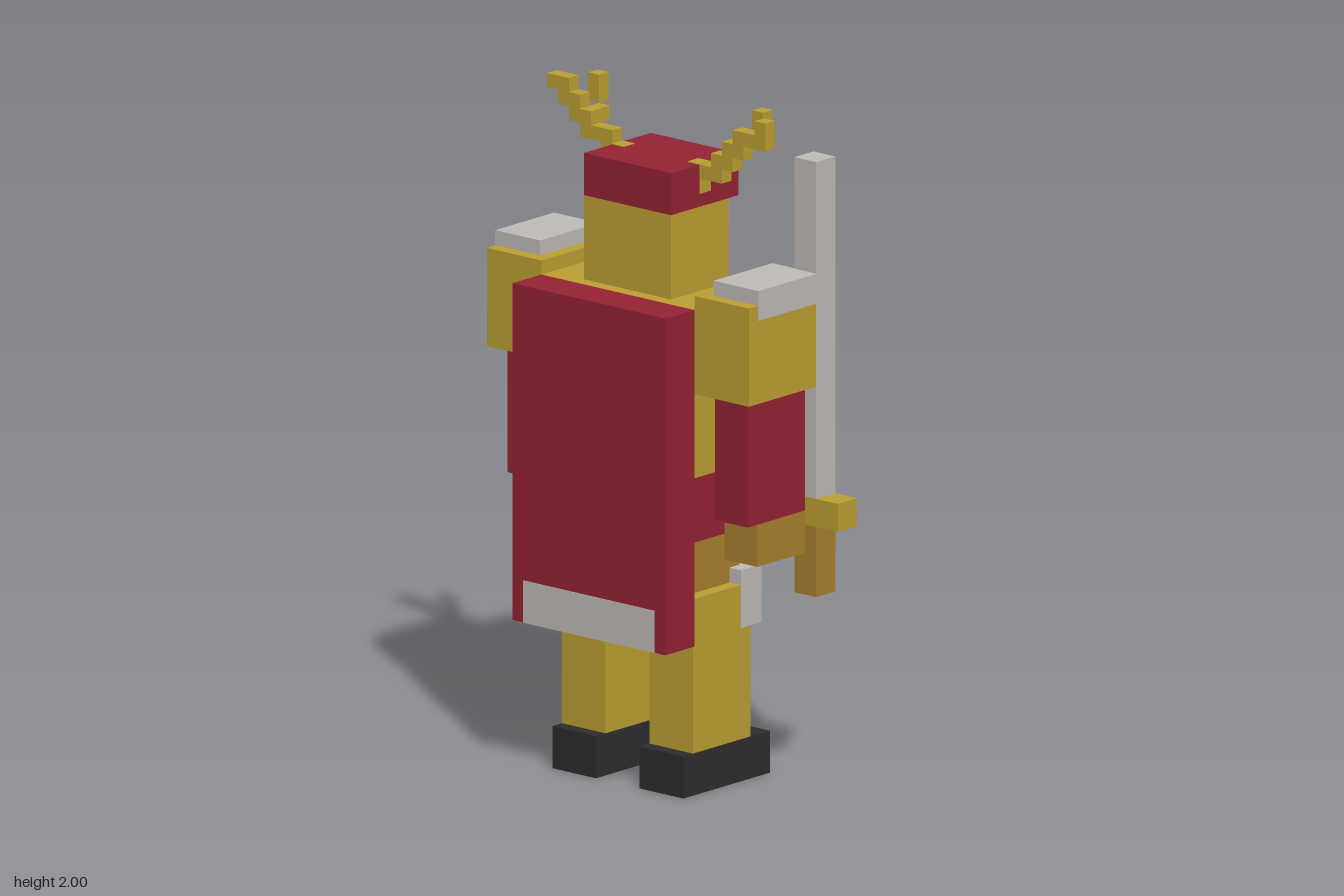
import * as THREE from 'three';

const V = 1 / 24; // size of one block

export function createModel() {
  const model = new THREE.Group();
  model.name = 'armouredFigure';
  const mat = (name, color) => {
    const m = new THREE.MeshStandardMaterial({ color });
    m.name = name;
    return m;
  };
  const gold = mat('gold', 0xbda033);
  const red = mat('red', 0x962234);
  const brown = mat('brown', 0xaa802e);
  const grey = mat('grey', 0xc0bcb7);
  const black = mat('black', 0x2d2d2d);

  // Box from block ranges; grow lifts inlaid colours just above the surface
  function box(name, material, [x0, x1], [y0, y1], [z0, z1], grow = 0, parent = model) {
    const g = 2 * grow;
    const mesh = new THREE.Mesh(
      new THREE.BoxGeometry((x1 - x0 + g) * V, (y1 - y0 + g) * V, (z1 - z0 + g) * V), material);
    mesh.position.set((x0 + x1) / 2 * V, (y0 + y1) / 2 * V, (z0 + z1) / 2 * V);
    mesh.name = name;
    parent.add(mesh);
    return mesh;
  }
  const INLAY = 0.06;

  // Limbs, mirrored about the body's middle at x = -1
  for (const [side, s] of [['left', 1], ['right', -1]]) {
    const mx = (a, b) => [s * a - 1, s * b - 1].sort((p, q) => p - q);
    box(side + 'Boot', black, mx(2, 6), [0, 3], [-5.5, 3.5]);
    box(side + 'Leg', gold, mx(2, 6), [3, 14], [-3.5, 2.5]);
    box(side + 'Thigh', brown, mx(2, 5), [14, 18], [-3.5, 2.5]);
    box(side + 'KneeGuard', grey, mx(2, 6), [11, 15], [-4.5, -2.5], INLAY);
    box(side + 'Sleeve', red, mx(8, 11), [20, 29], [-3.5, 2.5]);
    box(side + 'Hand', brown, mx(8, 11), [17, 20], [-4.5, 1.5]);
    box(side + 'Shoulder', gold, mx(7, 12), [29, 36], [-4.5, 3.5]);
    box(side + 'ShoulderPlate', grey, mx(8, 12), [35, 37], [-3.5, 2.5], INLAY);
  }

  // Body
  box('torso', gold, [-8, 6], [23, 35], [-4.5, 3.5]);
  box('skirt', red, [-7, 5], [18, 23], [-4.5, 3.5]);
  box('skirtTab', gold, [-3, 1], [18, 23], [-5.5, -4.5]);
  box('chestPlate', brown, [-7, 5], [24, 34], [-5.5, -4.5]);
  box('chestBadge', red, [-4, 2], [26, 32], [-6.5, -5.5]);
  box('badgeCentre', gold, [-3, 1], [27, 31], [-6.55, -6.4]);

  // Cape and its hem
  box('cape', red, [-8, 6], [11, 35], [3.5, 6.5]);
  box('capeHem', grey, [-7, 5], [11, 14], [6.4, 6.55]);

  // Head
  box('head', gold, [-5, 3], [35, 41], [-3.5, 2.5]);
  box('facePlate', gold, [-4, 2], [37, 40], [-4.5, -3.5]);
  box('cap', red, [-5, 3], [41, 44], [-4.5, 2.5]);

  // Antlers: stepped rows of [x range, y range], then a prong towards the face
  const antlers = {
    leftAntler: {
      rows: [[[3, 5], [43, 44]], [[4, 6], [44, 45]], [[5, 6], [45, 46]],
        [[6, 8], [46, 47]], [[5, 7], [45, 46]], [[8, 9], [46, 48]]],
      prong: [[5, 6], [6, 7]], root: [2, 3],
    },
    rightAntler: {
      rows: [[[-6, -5], [43, 44]], [[-8, -5], [44, 45]], [[-9, -7], [45, 46]],
        [[-10, -8], [46, 47]], [[-11, -9], [47, 48]]],
      prong: [[-8, -7], [-9, -8]], root: [-5, -4],
    },
  };
  for (const [name, { rows, prong, root }] of Object.entries(antlers)) {
    const group = new THREE.Group();
    group.name = name;
    model.add(group);
    box('antlerRoot', gold, root, [42, 44], [-1.5, -0.5], INLAY, group);
    for (const [x, y] of rows) box('antlerStep', gold, x, y, [-1.5, -0.5], 0, group);
    box('prongBase', gold, prong[0], [45, 46], [-2.5, -1.5], 0, group);
    box('prongTip', gold, prong[1], [46, 48], [-3.5, -2.5], 0, group);
  }

  // Sword
  const sword = new THREE.Group();
  sword.name = 'sword';
  model.add(sword);
  box('handle', brown, [9, 11], [14, 19], [-5.5, -3.5], 0, sword);
  box('guard', gold, [7, 13], [19, 21], [-5.5, -3.5], 0, sword);
  box('blade', grey, [9, 11], [21, 45], [-5.5, -3.5], 0, sword);
  box('bladeEdge', gold, [9, 10], [22, 43], [-5.5, -4.5], INLAY, sword);

  return model;
}
